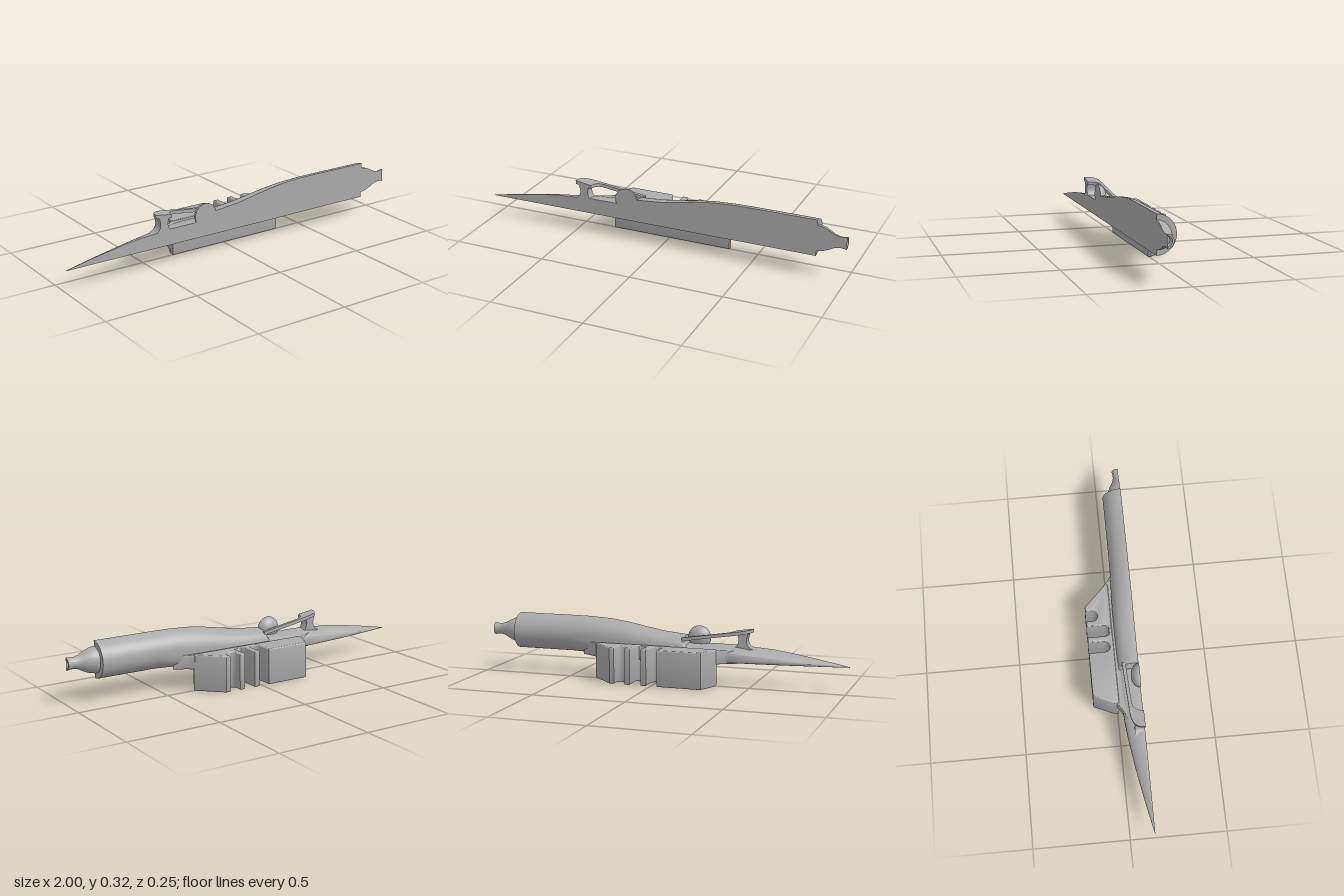
import * as THREE from 'three';
import { toCreasedNormals } from 'three/addons/utils/BufferGeometryUtils.js';

const CUT = 0.125; // flat centre plane of the half hull
const AXIS = 0.218; // height of the engine axis

// Half-hull loft along x. Station: [x, top, bottom, half width, widest height, lower power, upper power]
function loft(stations, n = 28) {
  const pos = [], idx = [], m = n + 1;
  for (const [x, top, bottom, w, mid, lowPow, upPow] of stations) {
    for (let j = 0; j <= n; j++) {
      const a = -Math.PI / 2 + (Math.PI * j) / n;
      const c = Math.max(0, Math.cos(a)), s = Math.sin(a);
      const e = 2 / (s < 0 ? lowPow : upPow);
      const h = s < 0 ? mid - bottom : top - mid;
      const cz = j === 0 || j === n ? 0 : Math.pow(c, e);
      pos.push(x, mid + Math.sign(s) * h * Math.pow(Math.abs(s), e), CUT - w * cz);
    }
  }
  for (let i = 0; i < stations.length - 1; i++) {
    for (let j = 0; j < m; j++) {
      const k = (j + 1) % m, a = i * m + j, b = i * m + k;
      idx.push(a, b, a + m, b, b + m, a + m);
    }
  }
  const end = (stations.length - 1) * m;
  for (let j = 1; j < n; j++) {
    idx.push(0, j + 1, j);
    idx.push(end, end + j, end + j + 1);
  }
  const g = new THREE.BufferGeometry();
  g.setAttribute('position', new THREE.Float32BufferAttribute(pos, 3));
  g.setIndex(idx);
  return toCreasedNormals(g, 0.6);
}

// Plan outline in (x, z), extruded upwards from y0 to y1 with a small bevel
function plan(shape, y0, y1, bevel) {
  const g = new THREE.ExtrudeGeometry(shape, {
    depth: y1 - y0 - 2 * bevel, bevelEnabled: bevel > 0, bevelSize: bevel,
    bevelThickness: bevel, bevelOffset: -bevel, bevelSegments: 3, curveSegments: 10,
  });
  g.rotateX(-Math.PI / 2).translate(0, y0 + bevel, 0);
  return toCreasedNormals(g, 0.6);
}

export function createModel() {
  const group = new THREE.Group();
  const grey = new THREE.MeshStandardMaterial({ color: 0xaaaaaa });
  const add = (name, geometry) => {
    const mesh = new THREE.Mesh(geometry, grey);
    mesh.name = name;
    group.add(mesh);
    return mesh;
  };

  // Hull: sharp flat-bottomed nose, cockpit step, round engine housing
  add('hull', loft([
    [-1.0, 0.121, 0.119, 0.002, 0.12, 8, 1.5],
    [-0.9, 0.141, 0.119, 0.023, 0.125, 8, 1.5],
    [-0.8, 0.159, 0.119, 0.042, 0.13, 8, 1.5],
    [-0.7, 0.176, 0.119, 0.06, 0.135, 8, 1.5],
    [-0.6, 0.19, 0.119, 0.075, 0.142, 8, 1.6],
    [-0.5, 0.197, 0.119, 0.089, 0.15, 8, 1.8],
    [-0.42, 0.204, 0.119, 0.098, 0.155, 8, 2.2],
    [-0.3, 0.205, 0.119, 0.104, 0.16, 8, 3],
    [-0.145, 0.205, 0.119, 0.106, 0.165, 8, 3],
    [-0.13, 0.245, 0.119, 0.106, 0.17, 8, 2.4],
    [0.0, 0.257, 0.119, 0.107, 0.18, 8, 2.3],
    [0.1, 0.275, 0.119, 0.107, 0.19, 8, 2.2],
    [0.2, 0.294, 0.119, 0.106, 0.2, 7, 2.1],
    [0.3, 0.308, 0.119, 0.103, 0.21, 5, 2],
    [0.42, 0.315, 0.12, 0.099, AXIS, 3, 2],
    [0.52, 0.316, 0.12, 0.098, AXIS, 2, 2],
    [0.845, 0.316, 0.12, 0.098, AXIS, 2, 2],
  ]));

  // Engine nozzle with a hollow mouth
  const nozzle = [
    [0.83, 0.07], [0.85, 0.07], [0.88, 0.064], [0.91, 0.051], [0.935, 0.037],
    [0.96, 0.03], [0.98, 0.03], [1.0, 0.034], [1.0, 0.025], [0.97, 0.022],
  ];
  add('nozzle', loft(nozzle.map(([x, r]) => [x, AXIS + r, AXIS - r, r, AXIS, 2, 2])));

  // Side pod with tapered ends and three rounded slots leaving two fins
  const pod = new THREE.Shape();
  pod.moveTo(-0.322, -0.008);
  pod.lineTo(0.342, -0.008);
  pod.lineTo(0.348, 0.005);
  pod.lineTo(0.225, 0.125);
  for (const [right, left, floor] of [[0.2, 0.142, 0.062], [0.112, 0.052, 0.003], [0.022, -0.036, 0.012]]) {
    const r = (right - left) / 2;
    pod.lineTo(right, 0.125);
    pod.lineTo(right, floor + r);
    pod.absarc((right + left) / 2, floor + r, r, 0, -Math.PI, true);
    pod.lineTo(left, 0.125);
  }
  pod.lineTo(-0.275, 0.125);
  pod.lineTo(-0.322, 0.02);
  pod.closePath();
  add('sidePod', plan(pod, 0.001, 0.195, 0.007));

  // Fairing joining the pod to the hull
  const root = new THREE.Shape();
  root.moveTo(-0.42, -0.05);
  root.quadraticCurveTo(-0.34, -0.015, -0.315, 0.01);
  root.lineTo(0.345, 0.01);
  root.quadraticCurveTo(0.37, -0.018, 0.44, -0.05);
  root.closePath();
  add('podFairing', plan(root, 0.116, 0.19, 0.004));

  // Canopy frame: a flat hoop sloping down towards the tail
  const hoop = new THREE.Shape();
  hoop.moveTo(-0.49, -CUT);
  hoop.bezierCurveTo(-0.492, -0.075, -0.46, -0.055, -0.4, -0.052);
  hoop.lineTo(-0.12, -0.04);
  hoop.lineTo(-0.12, -0.058);
  hoop.lineTo(-0.35, -0.068);
  hoop.quadraticCurveTo(-0.395, -0.072, -0.4, -CUT);
  hoop.closePath();
  const frame = plan(hoop, 0.222, 0.24, 0);
  const p = frame.attributes.position;
  for (let i = 0; i < p.count; i++) p.setY(i, p.getY(i) - (p.getX(i) + 0.13) * 0.15);
  add('canopyFrame', toCreasedNormals(frame, 0.6));

  // Flared post holding the front of the canopy frame
  const post = new THREE.Shape();
  post.moveTo(-0.5, 0.19);
  post.quadraticCurveTo(-0.445, 0.21, -0.475, 0.278);
  post.lineTo(-0.415, 0.27);
  post.quadraticCurveTo(-0.435, 0.21, -0.39, 0.19);
  post.closePath();
  const postGeometry = new THREE.ExtrudeGeometry(post, { depth: 0.052, bevelEnabled: false, curveSegments: 10 });
  add('canopyPost', toCreasedNormals(postGeometry.translate(0, 0, CUT - 0.052), 0.6));

  // Half dome behind the cockpit, closed on the centre plane
  const dome = add('cockpitDome', new THREE.SphereGeometry(0.063, 24, 20, Math.PI, Math.PI));
  dome.scale.z = 0.72;
  dome.position.set(-0.195, 0.233, CUT);
  add('domeFace', new THREE.CircleGeometry(0.063, 36)).position.set(-0.195, 0.233, CUT);

  return group;
}
